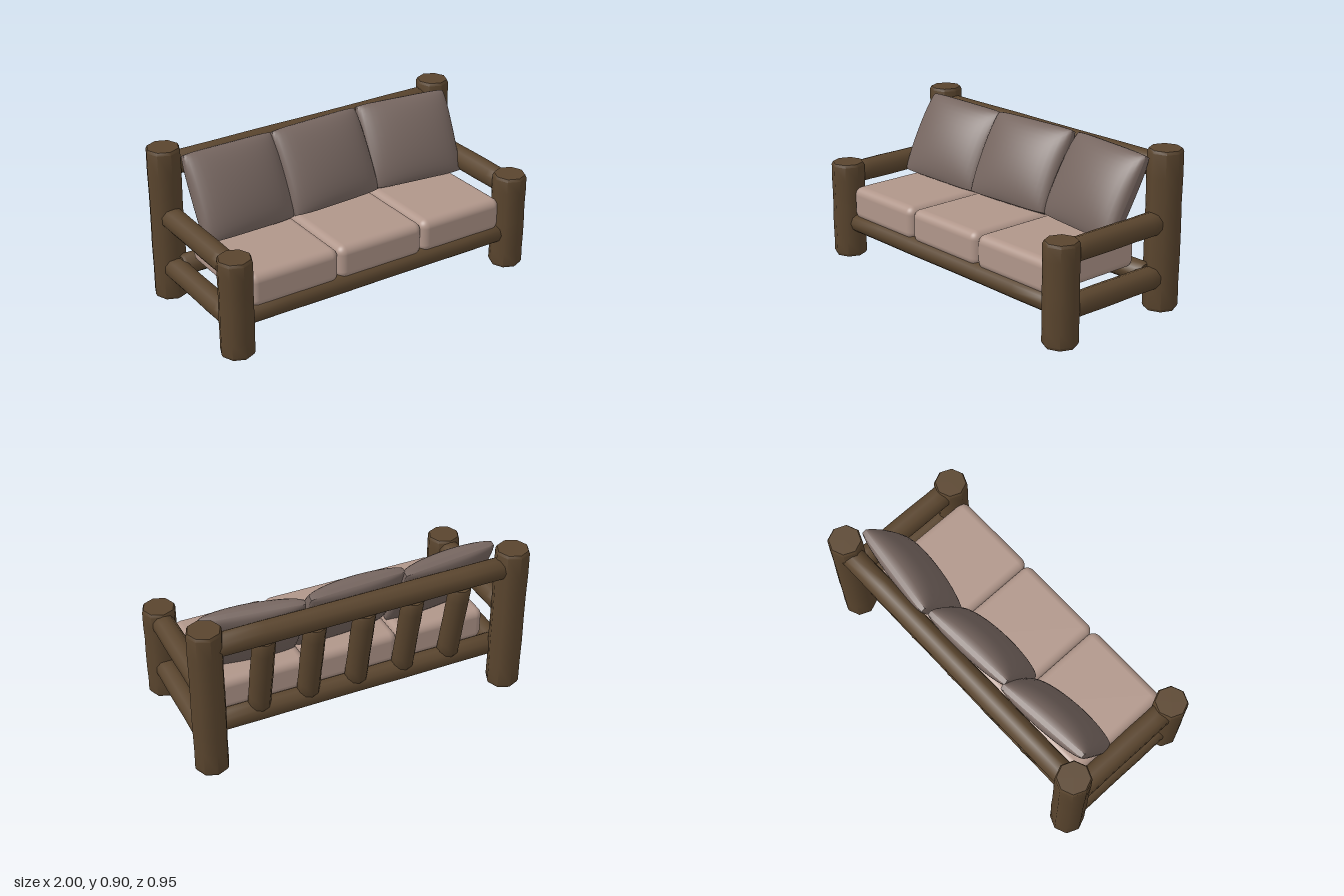
import * as THREE from 'three';
import { toCreasedNormals } from 'three/addons/utils/BufferGeometryUtils.js';
import { RoundedBoxGeometry } from 'three/addons/geometries/RoundedBoxGeometry.js';

export function createModel() {
  const model = new THREE.Group();
  model.name = 'logSofa';

  const material = (name, color) => {
    const m = new THREE.MeshStandardMaterial({ color });
    m.name = name;
    return m;
  };
  const wood = material('brown wood', 0x5a452e);
  const seatFabric = material('pale tan fabric', 0xb0968a);
  const pillowFabric = material('grey brown fabric', 0x766660);

  const add = (name, geometry, mat) => {
    const mesh = new THREE.Mesh(geometry, mat);
    mesh.name = name;
    model.add(mesh);
    return mesh;
  };

  // Log between two points, slightly uneven, with bevelled ends
  const log = (name, from, to, r, sides = 8) => {
    const a = new THREE.Vector3(...from);
    const b = new THREE.Vector3(...to);
    const h = a.distanceTo(b);
    const profile = [[0, 0], [r - 0.008, 0], [r, 0.016]];
    for (let i = 1; i < 6; i++) {
      profile.push([r * (1 + 0.015 * Math.sin(i * 2.1 + a.x * 3)), (h * i) / 6]);
    }
    profile.push([r, h - 0.016], [r - 0.008, h], [0, h]);
    const lathe = new THREE.LatheGeometry(profile.map((p) => new THREE.Vector2(...p)), sides);
    const mesh = add(name, toCreasedNormals(lathe, 0.82), wood);
    mesh.position.copy(a);
    mesh.quaternion.setFromUnitVectors(new THREE.Vector3(0, 1, 0), b.sub(a).normalize());
    return mesh;
  };

  // Posts and side rails
  for (const [side, s] of [['left', 1], ['right', -1]]) {
    const x = 0.903 * s;
    log(side + 'FrontPost', [x, 0, 0.38], [x, 0.567, 0.38], 0.097);
    log(side + 'BackPost', [x, 0, -0.375], [x, 0.9, -0.375], 0.097);
    log(side + 'ArmRail', [x, 0.493, 0.36], [x, 0.497, -0.36], 0.066, 10);
    log(side + 'LowerRail', [x, 0.19, 0.36], [x, 0.19, -0.36], 0.066, 10);
  }

  // Long rails
  log('frontRail', [-0.88, 0.207, 0.37], [0.88, 0.207, 0.37], 0.06, 10);
  log('lowerBackRail', [-0.88, 0.21, -0.278], [0.88, 0.21, -0.278], 0.062, 10);
  log('upperBackRail', [-0.88, 0.79, -0.375], [0.88, 0.79, -0.385], 0.066, 10);

  // Leaning back spindles
  for (let i = -2; i <= 2; i++) {
    log('backSpindle', [i * 0.29, 0.24, -0.277], [i * 0.29, 0.75, -0.383], 0.064, 10);
  }

  // Planks below the seat
  for (const x of [-0.55, 0, 0.55]) {
    add('seatPlank', new THREE.BoxGeometry(0.26, 0.03, 0.65), wood).position.set(x, 0.226, 0.045);
  }

  // Seat cushions
  for (const x of [-0.55, 0, 0.55]) {
    const geometry = new RoundedBoxGeometry(0.551, 0.198, 0.662, 6, 0.048);
    add('seatCushion', geometry, seatFabric).position.set(x, 0.337, 0.078);
  }

  // Back pillow: a swollen box, fuller in front and towards the bottom, with a thin seam
  const pillowGeometry = () => {
    const g = new THREE.BoxGeometry(2, 2, 2, 18, 18, 1);
    const p = g.attributes.position;
    for (let i = 0; i < p.count; i++) {
      const u = Math.sin((p.getX(i) * Math.PI) / 2);
      const v = Math.sin((p.getY(i) * Math.PI) / 2);
      const sag = 1 - v * v + 0.05 * (1 - v);
      const swell = Math.pow(Math.max(0, (1 - u * u) * sag), 0.44);
      const front = p.getZ(i) > 0;
      p.setXYZ(
        i,
        0.292 * u * (1 - 0.025 * v ** 6),
        0.25 * v * (1 - 0.03 * u ** 6),
        front ? 0.014 + 0.096 * swell : -0.014 - 0.065 * swell
      );
    }
    g.computeVertexNormals();
    return g;
  };
  const pillows = [
    // x, y, z, yaw, roll
    [-0.563, 0.654, -0.164, 0.1, -0.04],
    [0.007, 0.657, -0.18, 0.06, 0.0],
    [0.588, 0.653, -0.178, -0.12, 0.0],
  ];
  for (const [x, y, z, yaw, roll] of pillows) {
    const pillow = add('backPillow', pillowGeometry(), pillowFabric);
    pillow.position.set(x, y, z);
    pillow.rotation.set(-0.49, yaw, roll, 'YXZ');
  }

  return model;
}
